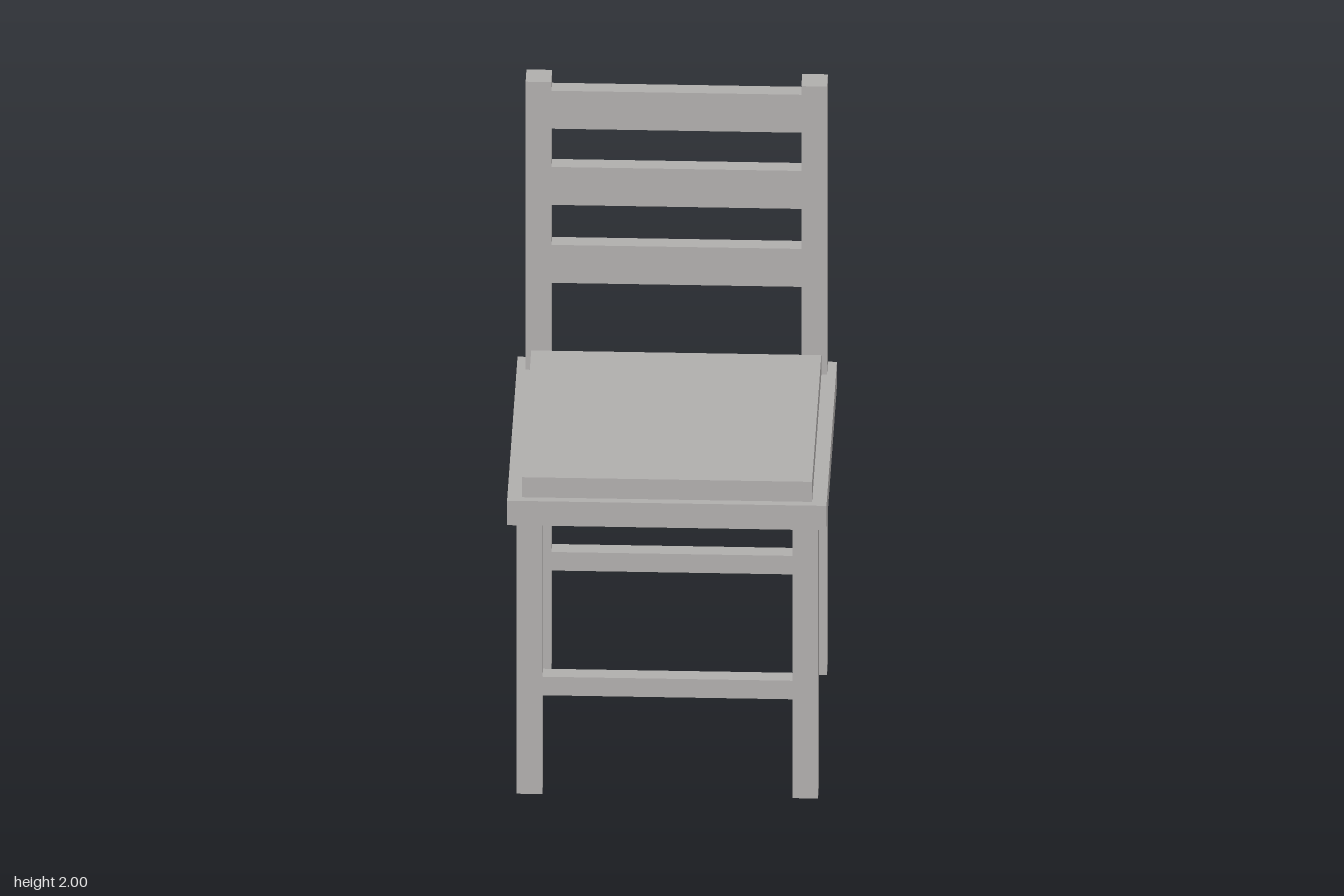
import * as THREE from 'three';

export function createModel() {
  const chair = new THREE.Group();
  chair.name = 'chair';
  const wood = new THREE.MeshStandardMaterial({ color: 0xb0aeac });
  wood.name = 'grey wood';

  // Box given by its lower and upper limits on each axis
  function box(name, [x0, x1], [y0, y1], [z0, z1]) {
    const mesh = new THREE.Mesh(new THREE.BoxGeometry(x1 - x0, y1 - y0, z1 - z0), wood);
    mesh.name = name;
    mesh.position.set((x0 + x1) / 2, (y0 + y1) / 2, (z0 + z1) / 2);
    chair.add(mesh);
  }

  // Seat board and the raised pad on it
  box('seat', [-0.479, 0.479], [0.938, 1.021], [-0.459, 0.457]);
  box('seatPad', [-0.435, 0.435], [1.021, 1.089], [-0.373, 0.433]);

  // Tall back posts and short front legs
  for (const [side, x] of [['left', [0.375, 0.452]], ['right', [-0.452, -0.375]]]) {
    box(side + 'BackPost', x, [0, 2], [-0.455, -0.377]);
    box(side + 'FrontLeg', x, [0, 0.938], [0.332, 0.409]);
  }

  // Three slats of the backrest
  const span = [-0.375, 0.375];
  const backDepth = [-0.448, -0.397];
  [1.307, 1.572, 1.831].forEach((y, i) => {
    box('backSlat' + (i + 1), span, [y, y + 0.129], backDepth);
  });

  // Low stretchers between the legs
  box('backStretcher', span, [0.329, 0.392], backDepth);
  box('frontStretcher', span, [0.329, 0.392], [0.345, 0.396]);

  return chair;
}
